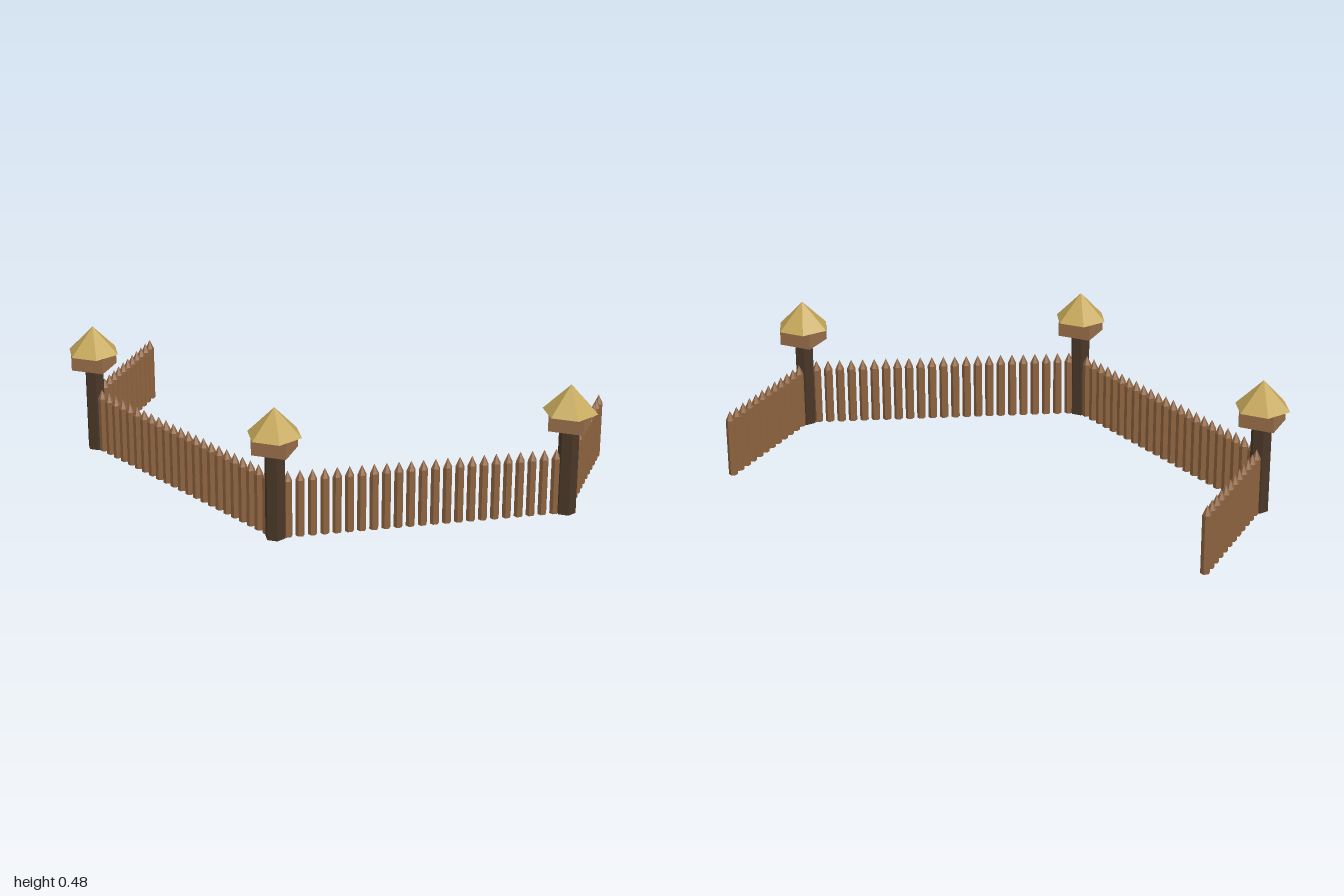
import * as THREE from 'three';
import { mergeGeometries } from 'three/addons/utils/BufferGeometryUtils.js';

const mat = (name, color) => {
  const m = new THREE.MeshStandardMaterial({ color, flatShading: true });
  m.name = name;
  return m;
};

export function createModel() {
  const stakeWood = mat('stake wood', 0x8f6440);
  const darkTimber = mat('dark timber', 0x4a3728);
  const platformWood = mat('platform wood', 0x9a6f4a);
  const thatch = mat('thatch', 0xc4a658);

  const model = new THREE.Group();
  model.name = 'palisade';

  const add = (parent, name, geometry, material, y = 0) => {
    const mesh = new THREE.Mesh(geometry, material);
    mesh.name = name;
    mesh.position.y = y;
    parent.add(mesh);
  };

  // Corners lie on a hexagon; the side walls stop halfway along their edge
  const left = new THREE.Vector3(0.9, 0, -0.035);
  const right = new THREE.Vector3(-0.9, 0, -0.035);
  const front = new THREE.Vector3(0, 0, 0.485);
  const HEX = Math.PI / 6; // turns hexagon corners to face +x and -x

  // Watchtowers: hexagonal post, square platform, hexagonal roof
  const postGeo = new THREE.CylinderGeometry(0.0365, 0.0365, 0.325, 6).rotateY(HEX);
  const platformGeo = new THREE.BoxGeometry(0.125, 0.06, 0.125);
  const roofGeo = new THREE.ConeGeometry(0.098, 0.1, 6).rotateY(HEX);
  for (const [name, p] of [['leftTower', left], ['rightTower', right], ['frontTower', front]]) {
    const tower = new THREE.Group();
    tower.name = name;
    tower.position.copy(p);
    add(tower, 'post', postGeo, darkTimber, 0.1625);
    add(tower, 'platform', platformGeo, platformWood, 0.354);
    add(tower, 'roof', roofGeo, thatch, 0.433);
    model.add(tower);
  }

  // One pointed stake
  const stake = mergeGeometries([
    new THREE.CylinderGeometry(0.016, 0.016, 0.21, 6).translate(0, 0.105, 0),
    new THREE.ConeGeometry(0.016, 0.035, 6, 1, true).translate(0, 0.2275, 0),
  ]);

  // A wall is a row of stakes at even steps from one corner
  const wall = (name, from, to, count) => {
    const stakes = [];
    for (let i = 1; i <= count; i++) {
      const p = from.clone().lerp(to, i / 24);
      stakes.push(stake.clone().translate(p.x, 0, p.z));
    }
    add(model, name, mergeGeometries(stakes), stakeWood);
  };
  const back = new THREE.Vector3(0, 0, -1.04);
  wall('frontLeftWall', front, left, 23);
  wall('frontRightWall', front, right, 23);
  wall('leftWall', left, left.clone().add(back), 12);
  wall('rightWall', right, right.clone().add(back), 12);

  return model;
}
